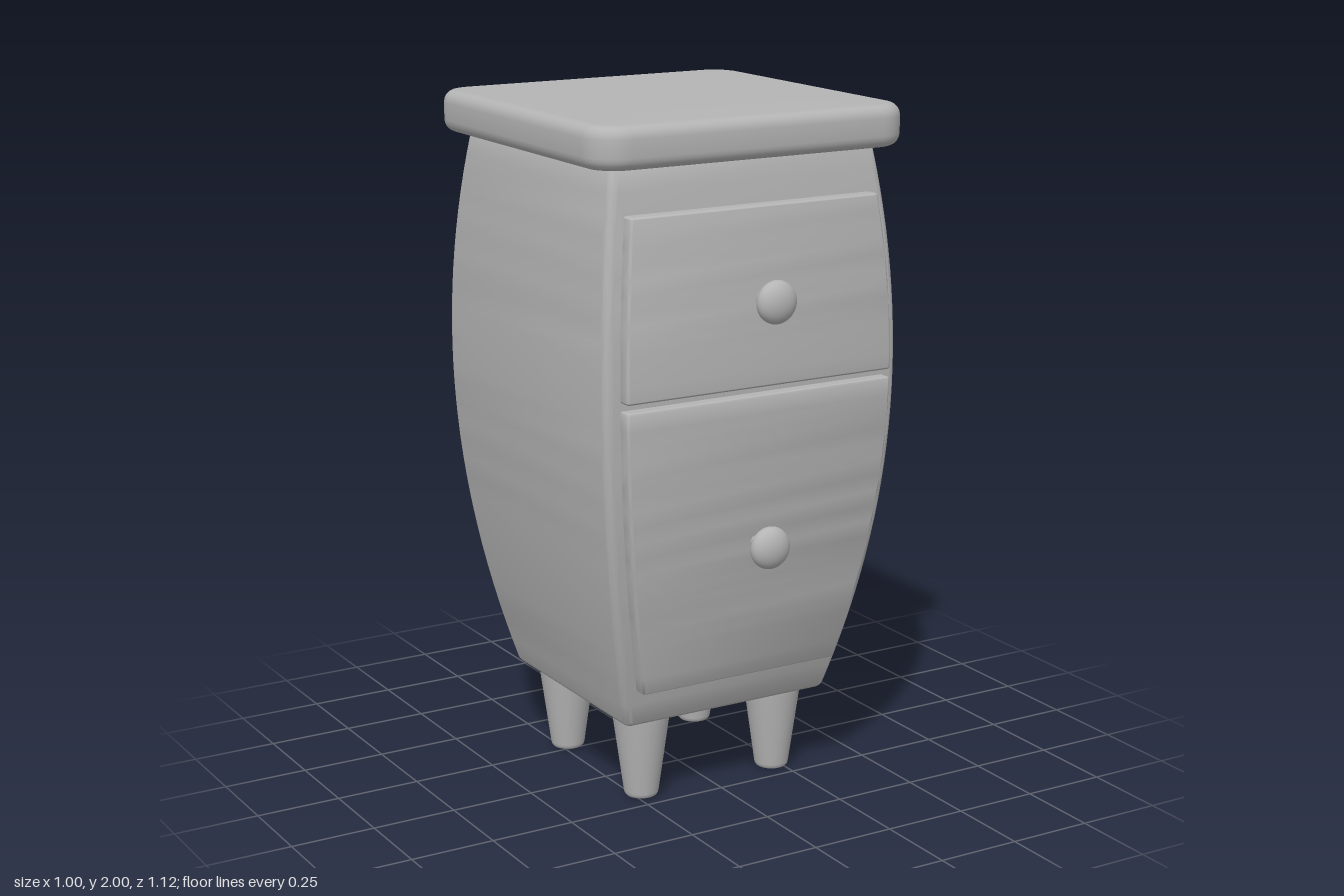
import * as THREE from 'three';
import { toCreasedNormals } from 'three/addons/utils/BufferGeometryUtils.js';

const CZ = -0.057; // depth centre of the cabinet
const bulge = (y) => 0.475 - 0.137 * (y - 1.27) ** 2; // half width at height y

// Block of stacked rounded rectangles, with rounded top and bottom edges.
// size(y) returns [halfWidth, backZ, frontZ]; r is the upright corner radius.
function roundedStack(y0, y1, edge, r, size, levels) {
  const CORNER = 8, ROUND = 5, rings = [];
  const addRing = (y, inset) => {
    const [w, back, front] = size(y);
    const hx = w - inset, zb = back + inset, zf = front - inset;
    const rr = Math.max(r - inset, 0.001), ring = [];
    for (let q = 0; q < 4; q++) {
      const cx = q === 0 || q === 3 ? hx - rr : -hx + rr;
      const cz = q < 2 ? zf - rr : zb + rr;
      for (let k = 0; k <= CORNER; k++) {
        const t = (q + k / CORNER) * Math.PI / 2;
        ring.push([cx + rr * Math.cos(t), y, cz + rr * Math.sin(t)]);
      }
    }
    rings.push(ring);
  };
  addRing(y0, edge + 0.006);
  for (let i = 0; i <= ROUND; i++) {
    const t = i / ROUND * Math.PI / 2;
    addRing(y0 + edge * (1 - Math.sin(t)), edge * (1 - Math.cos(t)));
  }
  // the rounded lower edge is gathered outside-in, so put it in rising order
  rings.push(...rings.splice(1).reverse());
  for (let i = 1; i < levels; i++) addRing(y0 + edge + (y1 - y0 - 2 * edge) * i / levels, 0);
  for (let i = 0; i <= ROUND; i++) {
    const t = i / ROUND * Math.PI / 2;
    addRing(y1 - edge * (1 - Math.sin(t)), edge * (1 - Math.cos(t)));
  }
  addRing(y1, edge + 0.006);

  const n = rings[0].length, last = rings.length - 1, index = [];
  const pos = rings.flat(2);
  for (const y of [y0, y1]) pos.push(0, y, (size(y)[1] + size(y)[2]) / 2);
  const bottom = n * rings.length, top = bottom + 1;
  for (let j = 0; j < n; j++) {
    const k = (j + 1) % n;
    for (let i = 0; i < last; i++) {
      const a = i * n + j, b = i * n + k, c = a + n, d = b + n;
      index.push(a, c, b, b, c, d);
    }
    index.push(bottom, j, k, top, last * n + k, last * n + j);
  }
  const g = new THREE.BufferGeometry();
  g.setAttribute('position', new THREE.Float32BufferAttribute(pos, 3));
  g.setIndex(index);
  return toCreasedNormals(g, 0.7);
}

export function createModel() {
  const group = new THREE.Group();
  const grey = new THREE.MeshStandardMaterial({ color: 0xb4b4b4 });
  grey.name = 'grey';
  const add = (name, geometry, x = 0, y = 0, z = 0) => {
    const mesh = new THREE.Mesh(geometry, grey);
    mesh.name = name;
    mesh.position.set(x, y, z);
    group.add(mesh);
    return mesh;
  };

  // Bulging cabinet and its slab top
  add('body', roundedStack(0.26, 1.89, 0.018, 0.025,
    (y) => [bulge(y), CZ - bulge(y), CZ + bulge(y)], 28));
  add('top', roundedStack(1.88, 2, 0.035, 0.1, () => [0.5, CZ - 0.5, CZ + 0.5], 1));

  // Drawer fronts following the curve of the body
  const drawer = (y) => [bulge(y) - 0.047, CZ + bulge(y) - 0.03, CZ + bulge(y) + 0.04];
  add('upperDrawer', roundedStack(1.255, 1.755, 0.006, 0.01, drawer, 12));
  add('lowerDrawer', roundedStack(0.38, 1.232, 0.006, 0.01, drawer, 18));

  // Knobs on short stems
  for (const [name, y, z] of [['upper', 1.505, 0.522], ['lower', 0.805, 0.501]]) {
    const knob = add(name + 'Knob', new THREE.SphereGeometry(0.061, 32, 20), 0, y, z);
    knob.scale.z = 0.6;
    const stem = new THREE.CylinderGeometry(0.019, 0.019, 0.1, 20).rotateX(Math.PI / 2);
    add(name + 'KnobStem', stem, 0, y, z - 0.05);
  }

  // Four tapered legs with softened feet
  const profile = [[0, 0], [0.038, 0], [0.045, 0.003], [0.049, 0.008], [0.051, 0.016],
    [0.082, 0.24], [0.083, 0.27]].map(([x, y]) => new THREE.Vector2(x, y));
  for (const x of [-0.225, 0.225])
    for (const z of [-0.225, 0.225])
      add((z > 0 ? 'front' : 'back') + (x > 0 ? 'Left' : 'Right') + 'Leg',
        new THREE.LatheGeometry(profile, 32), x, 0, CZ + z);

  return group;
}
